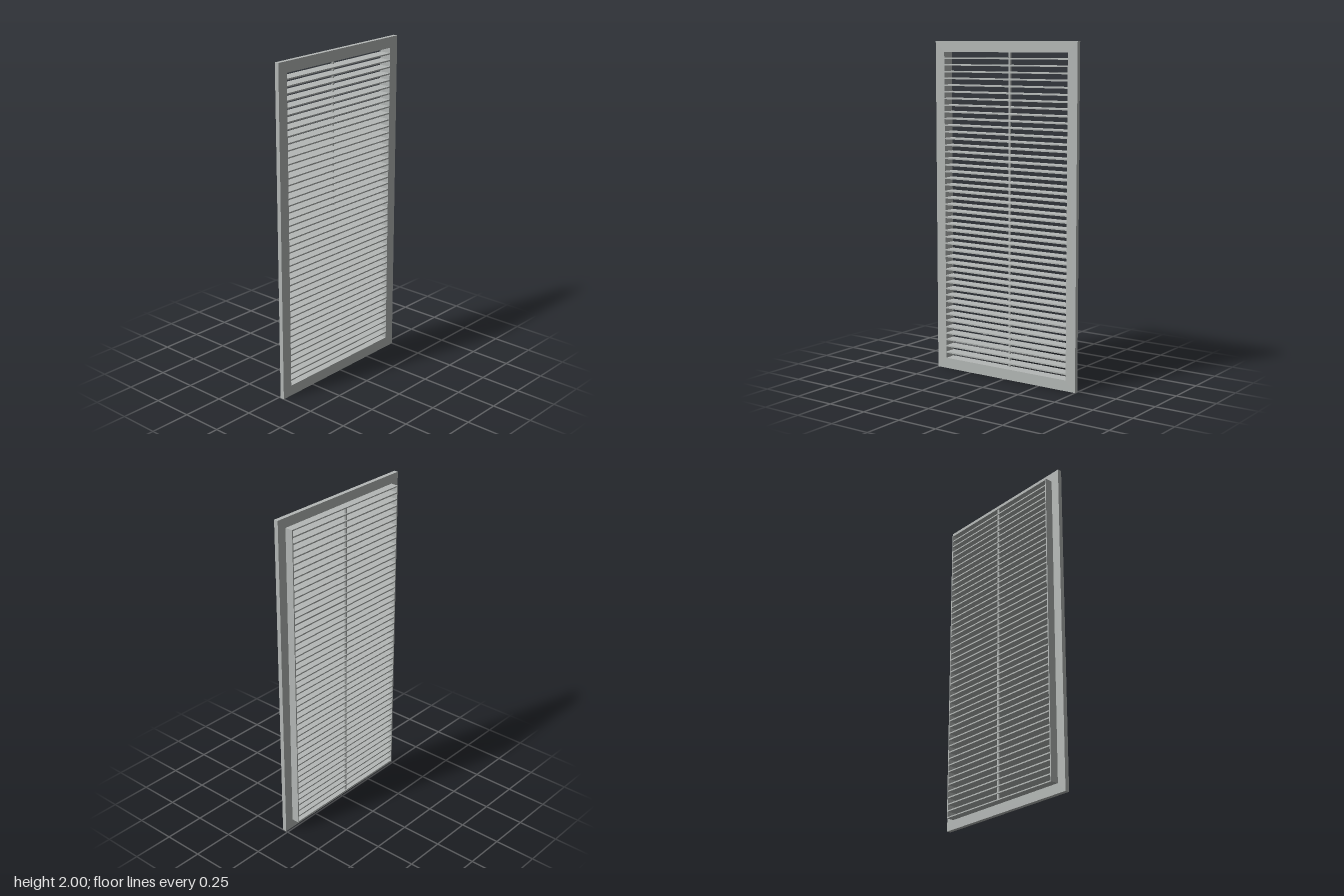
import * as THREE from 'three';

const FRONT = 0.037, STEP = 0.011, BACK = -0.037; // depth planes along z
const OPEN_X = 0.436, OPEN_Y = 0.936;             // half size of the opening
const SLATS = 46, SLAT_T = 0.008;

// Rectangular ring extruded between two depths
function ring(halfW, halfH, z0, z1, material, name) {
  const rect = (path, w, h) =>
    path.moveTo(-w, -h).lineTo(w, -h).lineTo(w, h).lineTo(-w, h).closePath();
  const shape = rect(new THREE.Shape(), halfW, halfH);
  shape.holes.push(rect(new THREE.Path(), OPEN_X, OPEN_Y));
  const geometry = new THREE.ExtrudeGeometry(shape, { depth: z1 - z0, bevelEnabled: false });
  const mesh = new THREE.Mesh(geometry, material);
  mesh.name = name;
  mesh.position.set(0, 1, z0);
  return mesh;
}

export function createModel() {
  const group = new THREE.Group();
  group.name = 'ventGrille';
  const metal = new THREE.MeshStandardMaterial({ color: 0xb4b8b6 });
  metal.name = 'greyMetal';

  // Wide front flange and the thin collar behind it
  group.add(ring(0.5, 1, STEP, FRONT, metal, 'frontFlange'));
  group.add(ring(0.443, 0.943, BACK, STEP, metal, 'rearCollar'));

  // Horizontal slats, evenly spaced and flush with both faces
  const slats = new THREE.Group();
  slats.name = 'slats';
  const slatGeometry = new THREE.BoxGeometry(OPEN_X * 2, SLAT_T, FRONT - BACK);
  const pitch = (OPEN_Y * 2 + SLAT_T) / (SLATS + 1);
  for (let i = 0; i < SLATS; i++) {
    const slat = new THREE.Mesh(slatGeometry, metal);
    slat.name = 'slat';
    slat.position.y = 1 + (i - (SLATS - 1) / 2) * pitch;
    slats.add(slat);
  }
  group.add(slats);

  // Vertical rod through the slats, near the back
  const rod = new THREE.Mesh(new THREE.CylinderGeometry(0.008, 0.008, OPEN_Y * 2, 20), metal);
  rod.name = 'supportRod';
  rod.position.set(0, 1, -0.024);
  group.add(rod);

  return group;
}
